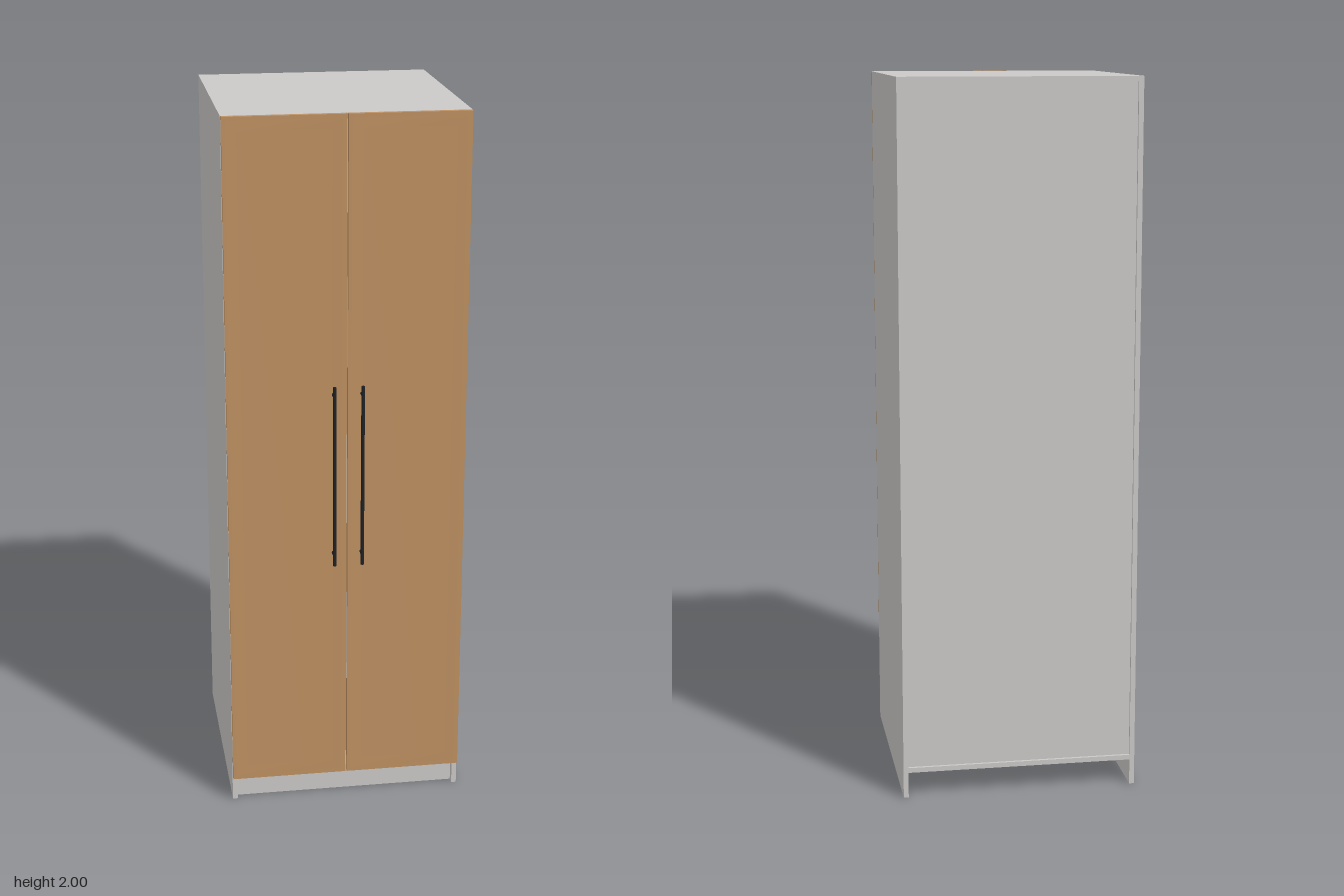
import * as THREE from 'three';

const mat = (name, color) => {
  const m = new THREE.MeshStandardMaterial({ color });
  m.name = name;
  return m;
};

// Box given by its minimum and maximum corners
function box(name, material, [x0, y0, z0], [x1, y1, z1]) {
  const mesh = new THREE.Mesh(new THREE.BoxGeometry(x1 - x0, y1 - y0, z1 - z0), material);
  mesh.position.set((x0 + x1) / 2, (y0 + y1) / 2, (z0 + z1) / 2);
  mesh.name = name;
  return mesh;
}

// Door face: flat rim, then a soft slope into a slightly sunken panel
function doorFace(w, h, depth) {
  const rings = [[0, 0], [0.028, 0], [0.045, -depth]];
  const pos = [], index = [];
  for (const [inset, z] of rings) {
    const x = w / 2 - inset, y = h / 2 - inset;
    pos.push(-x, -y, z, x, -y, z, x, y, z, -x, y, z);
  }
  for (let r = 0; r < rings.length - 1; r++) {
    for (let i = 0; i < 4; i++) {
      const a = r * 4 + i, b = r * 4 + (i + 1) % 4;
      index.push(a, b, b + 4, a, b + 4, a + 4);
    }
  }
  index.push(8, 9, 10, 8, 10, 11);
  const g = new THREE.BufferGeometry();
  g.setAttribute('position', new THREE.Float32BufferAttribute(pos, 3));
  g.setIndex(index);
  g.computeVertexNormals();
  return g;
}

export function createModel() {
  const model = new THREE.Group();
  model.name = 'wardrobe';
  const grey = mat('greyBoard', 0xcac9c7);
  const wood = mat('woodFront', 0xbd9061);
  const black = mat('blackMetal', 0x1f2126);

  const W = 0.332, T = 0.014, IN = W - T;
  const BACK = -0.358, FRONT = 0.31, BASE = 0.073;

  // Carcass boards
  model.add(
    box('leftSide', grey, [IN, 0, BACK], [W, 2, FRONT]),
    box('rightSide', grey, [-W, 0, BACK], [-IN, 2, FRONT]),
    box('topBoard', grey, [-IN, 2 - T, BACK], [IN, 2, FRONT]),
    box('bottomBoard', grey, [-IN, BASE, BACK], [IN, BASE + T, FRONT]),
    box('backPanel', grey, [-IN, BASE + T, BACK + 0.008], [IN, 2 - T, BACK + 0.014]),
    box('plinth', grey, [-IN, 0, FRONT - 0.034], [IN, BASE, FRONT - 0.02])
  );

  // Doors with bar handles, mirrored about the middle
  const z0 = 0.312, z1 = 0.326, x0 = 0.0015, x1 = 0.331, y0 = 0.073, y1 = 2;
  for (const s of [1, -1]) {
    const door = new THREE.Group();
    door.name = s > 0 ? 'leftDoor' : 'rightDoor';
    const cx = s * (x0 + x1) / 2, w = x1 - x0;

    // Slab without its front cap, closed by the shaped face
    const slab = box('doorSlab', wood, [cx - w / 2, y0, z0], [cx + w / 2, y1, z1]);
    const kept = Array.from(slab.geometry.index.array).filter((_, i) => i < 24 || i >= 30);
    slab.geometry.setIndex(kept);
    slab.geometry.clearGroups();
    const face = new THREE.Mesh(doorFace(w, y1 - y0, 0.003), wood);
    face.name = 'doorFace';
    face.position.set(cx, (y0 + y1) / 2, z1);
    door.add(slab, face);

    // Handle bar and two standoffs
    const handle = new THREE.Group();
    handle.name = 'handle';
    const hx = s * 0.039, hz = 0.353;
    const bar = new THREE.Mesh(new THREE.CylinderGeometry(0.005, 0.005, 0.524, 16), black);
    bar.name = 'handleBar';
    bar.position.set(hx, 1.003, hz);
    handle.add(bar);
    for (const y of [0.77, 1.236]) {
      const len = hz - z1 + 0.004;
      const post = new THREE.Mesh(new THREE.CylinderGeometry(0.0038, 0.0038, len, 12), black);
      post.name = 'handlePost';
      post.rotation.x = Math.PI / 2;
      post.position.set(hx, y, hz - len / 2);
      handle.add(post);
    }
    door.add(handle);
    model.add(door);
  }
  return model;
}
